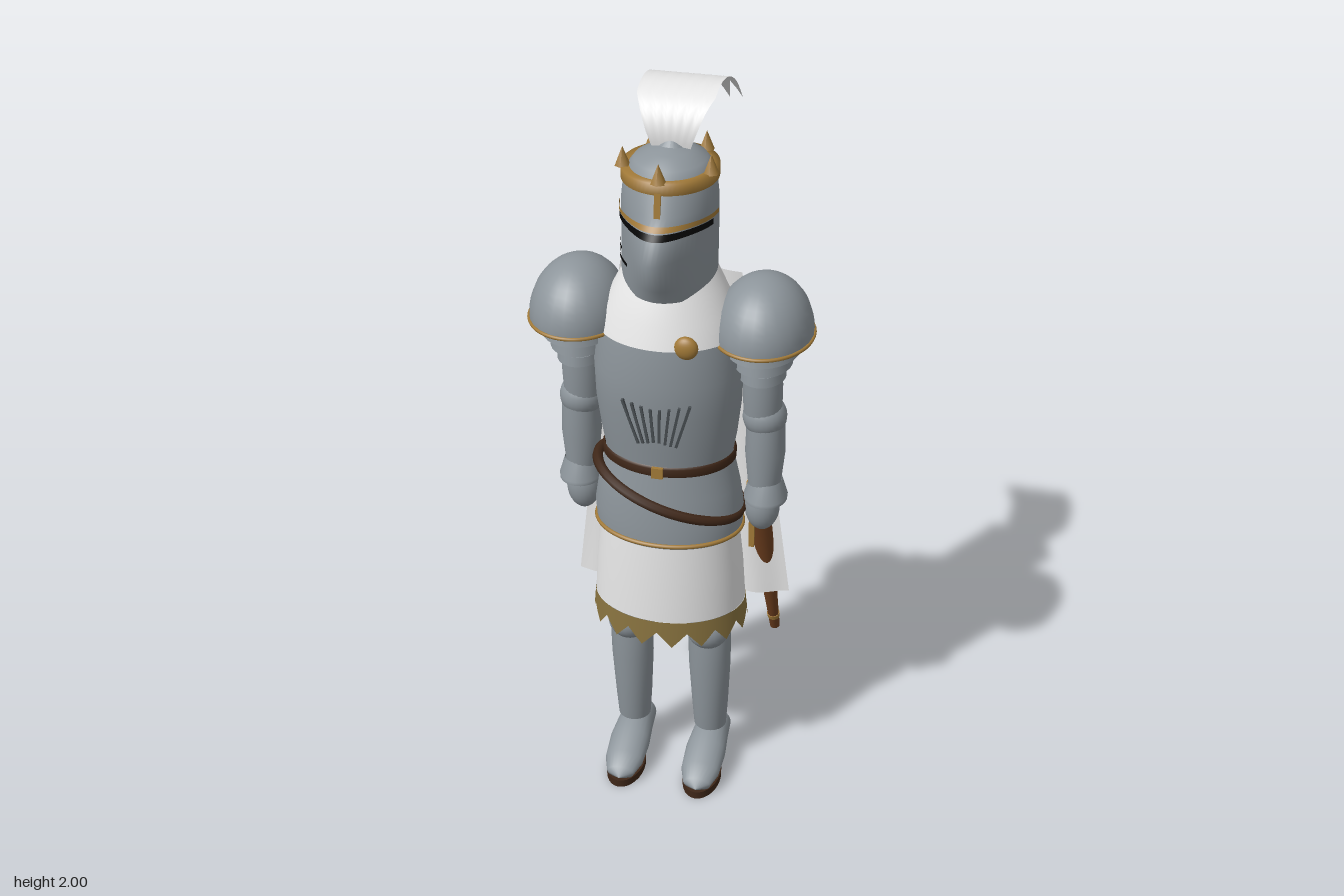
import * as THREE from 'three';

const mat = (name, color, side = THREE.FrontSide) => {
  const m = new THREE.MeshStandardMaterial({ color, side });
  m.name = name;
  return m;
};
const D = THREE.DoubleSide, TAU = Math.PI * 2;

// Ellipse sections [y, rx, rz, cz, point], rising in y; point pulls the front into a ridge
function loft(sections, a0 = 0, a1 = TAU, n = 64) {
  const pos = [], idx = [], closed = a1 - a0 > TAU - 1e-4, row = closed ? n : n + 1;
  sections.forEach(([y, rx, rz, cz = 0, p = 0]) => {
    for (let j = 0; j < row; j++) {
      const a = a0 + (a1 - a0) * j / n, s = Math.sin(a);
      pos.push(rx * Math.cos(a), y, cz + rz * s + p * Math.max(0, s) ** 6);
    }
  });
  for (let i = 0; i < sections.length - 1; i++) for (let j = 0; j < n; j++) {
    const a = i * row + j, c = i * row + (j + 1) % row;
    idx.push(a, a + row, c, c, a + row, c + row);
  }
  return build(pos, idx);
}

// Grid surface from a rule fn(u in -1..1, v in 0..1)
function sheet(nu, nv, fn) {
  const pos = [], idx = [];
  for (let i = 0; i <= nv; i++) for (let j = 0; j <= nu; j++) pos.push(...fn(j / nu * 2 - 1, i / nv));
  for (let i = 0; i < nv; i++) for (let j = 0; j < nu; j++) {
    const a = i * (nu + 1) + j, b = a + nu + 1;
    idx.push(a, a + 1, b, b, a + 1, b + 1);
  }
  return build(pos, idx);
}

function build(pos, idx) {
  const g = new THREE.BufferGeometry();
  g.setAttribute('position', new THREE.Float32BufferAttribute(pos, 3));
  g.setIndex(idx);
  g.computeVertexNormals();
  return g;
}

// Closed tube around an ellipse, sloping along x
function ring(rx, rz, cz, y, r, slope = 0) {
  const pts = Array.from({ length: 24 }, (_, i) => {
    const a = i / 24 * TAU, x = rx * Math.cos(a);
    return new THREE.Vector3(x, y + slope * x, cz + rz * Math.sin(a));
  });
  return new THREE.TubeGeometry(new THREE.CatmullRomCurve3(pts, true), 64, r, 8, true);
}

const HELM = [
  [1.52, 0.112, 0.115, 0.09, 0.01], [1.56, 0.12, 0.13, 0.08, 0.025], [1.65, 0.12, 0.135, 0.075, 0.075],
  [1.72, 0.12, 0.137, 0.075, 0.03], [1.75, 0.12, 0.135, 0.075, 0.005], [1.82, 0.113, 0.125, 0.073, 0],
  [1.85, 0.09, 0.1, 0.07, 0], [1.87, 0.05, 0.06, 0.065, 0], [1.878, 0, 0, 0.06, 0]];

// Strip lying just over the helmet between two heights and two angles in degrees
function helmBand(y0, y1, d0, d1, off) {
  const at = y => {
    const i = HELM.findIndex((s, k) => HELM[k + 1][0] >= y);
    const A = HELM[i], B = HELM[i + 1], t = (y - A[0]) / (B[0] - A[0]);
    const s = A.map((v, k) => v + (B[k] - v) * t);
    return [y, s[1] + off, s[2] + off, s[3], s[4]];
  };
  return loft([at(y0), at(y1)], d0 * Math.PI / 180, d1 * Math.PI / 180);
}

export function createModel() {
  const root = new THREE.Group();
  const steel = mat('steel', 0x8d959b, D), white = mat('white cloth', 0xe8e8e8, D);
  const gold = mat('gold', 0xa27a38, D), trim = mat('hem gold', 0x8a7440, D);
  const leather = mat('dark leather', 0x3f2718, D), wood = mat('scabbard brown', 0x70401f);
  const black = mat('black', 0x060606, D), groove = mat('groove grey', 0x4c5256);
  const add = (name, geo, m, x = 0, y = 0, z = 0, parent = root) => {
    const mesh = new THREE.Mesh(geo, m);
    mesh.name = name;
    mesh.position.set(x, y, z);
    parent.add(mesh);
    return mesh;
  };
  const ball = (r, w = 24, h = 16) => new THREE.SphereGeometry(r, w, h);

  // Torso, collar and skirt
  add('fauld', loft([[0.81, 0.195, 0.148, 0.087], [0.87, 0.2, 0.148, 0.087], [0.95, 0.188, 0.14, 0.087], [1.04, 0.168, 0.13, 0.087]]), steel);
  add('breastplate', loft([[1.03, 0.166, 0.128, 0.087], [1.1, 0.178, 0.139, 0.088], [1.2, 0.19, 0.15, 0.093],
    [1.3, 0.193, 0.157, 0.095], [1.4, 0.182, 0.153, 0.088]]), steel);
  add('collar', loft([[1.4, 0.183, 0.154, 0.088], [1.46, 0.168, 0.145, 0.08], [1.52, 0.138, 0.13, 0.075], [1.57, 0.112, 0.115, 0.07]]), white);
  add('skirt', loft([[0.58, 0.205, 0.163, 0.08], [0.7, 0.198, 0.157, 0.083], [0.82, 0.186, 0.146, 0.087]]), white);
  const hem = loft([[0.5, 0.212, 0.168, 0.077], [0.58, 0.206, 0.164, 0.08]]);
  for (let j = 0; j < 64; j++) hem.attributes.position.setY(j, 0.5 + 0.045 * Math.abs((j % 4) - 2) / 2);
  add('skirtHem', hem, trim);

  // Chest flutes fanning upwards
  for (let i = -3.5; i <= 3.5; i++) {
    const x = i * 0.0195, z = 0.091 + 0.149 * Math.sqrt(1 - (x / 0.187) ** 2);
    const f = add('chestFlute', new THREE.BoxGeometry(0.007, 0.1 + Math.abs(i) * 0.01, 0.008), groove, x, 1.185, z);
    f.rotation.set(0.14, x * 3, -i * 0.085);
  }

  // Belts and clasps
  add('waistBelt', loft([[1.022, 0.172, 0.133, 0.087], [1.027, 0.177, 0.138, 0.087], [1.047, 0.177, 0.138, 0.087], [1.052, 0.172, 0.133, 0.087]]), leather);
  add('beltBuckle', new THREE.BoxGeometry(0.03, 0.03, 0.01), gold, 0, 1.037, 0.226);
  add('swordBelt', ring(0.192, 0.148, 0.087, 0.935, 0.014, -0.34), leather);
  add('skirtBand', ring(0.197, 0.15, 0.087, 0.82, 0.006), gold);
  add('cloakClasp', ball(0.031), gold, 0.075, 1.41, 0.226).scale.z = 0.6;

  // Helmet, visor slits and crown
  add('helmet', loft(HELM), steel);
  add('eyeSlit', helmBand(1.703, 1.719, 18, 162, 0.004), black);
  add('browStrip', helmBand(1.722, 1.734, 5, 175, 0.005), gold);
  add('breathSlit', helmBand(1.625, 1.634, 146, 172, 0.004), black);
  add('breathSlit', helmBand(1.596, 1.606, 132, 172, 0.004), black);
  add('noseStrip', new THREE.BoxGeometry(0.016, 0.08, 0.012), gold, 0, 1.77, 0.208).rotation.x = -0.12;
  add('crownBand', loft([[1.805, 0.115, 0.128, 0.074], [1.805, 0.121, 0.135, 0.074], [1.835, 0.121, 0.135, 0.074], [1.835, 0.1, 0.113, 0.074]]), gold);
  for (let i = 0; i < 5; i++) {
    const a = i / 5 * TAU;
    add('crownSpike', new THREE.ConeGeometry(0.02, 0.05, 6), gold, 0.116 * Math.sin(a), 1.858, 0.074 + 0.126 * Math.cos(a));
  }
  add('plumeSocket', new THREE.ConeGeometry(0.05, 0.05, 20), steel, 0, 1.883, 0.05);

  // Plume: one bent sheet with seven feather tips
  const arc = new THREE.CatmullRomCurve3([[0.066, 1.86], [0.07, 1.91], [0.045, 1.965], [-0.03, 1.998], [-0.12, 1.99], [-0.21, 1.945], [-0.288, 1.87]]
    .map(([z, y]) => new THREE.Vector3(0, y, z)));
  add('plume', sheet(24, 20, (u, v) => {
    const k = (u + 1) * 3, notch = 1 - Math.abs((k % 1) * 2 - 1);
    const t = v * (1 - 0.22 * notch), p = arc.getPointAt(Math.min(1, t));
    const w = 0.045 + 0.05 * Math.min(1, t / 0.3) + 0.01 * t;
    return [u * w, p.y, p.z];
  }), white);

  // Two-layer cape
  const cape = (y0, y1, w0, w1, z0, z1, ph) => sheet(40, 14, (u, v) => [
    u * (w0 + (w1 - w0) * v), y0 + (y1 - y0) * v + 0.012 * v * Math.sin(u * 4 + ph),
    z0 + (z1 - z0) * v + 0.025 * u * u + 0.012 * (0.3 + v) * Math.sin(u * 9 + ph)]);
  add('upperCape', cape(1.5, 0.955, 0.16, 0.25, -0.062, -0.115, 1), white);
  add('lowerCape', cape(1.15, 0.51, 0.22, 0.3, -0.07, -0.092, 2), white);

  // Limbs, mirrored
  for (const s of [1, -1]) {
    const side = s > 0 ? 'left' : 'right';
    const arm = new THREE.Group(), leg = new THREE.Group();
    arm.name = side + 'Arm';
    leg.name = side + 'Leg';
    arm.position.set(s * 0.24, 0, 0.07);
    leg.position.x = s * 0.11;
    root.add(arm, leg);

    add('pauldron', new THREE.SphereGeometry(1, 24, 12, 0, TAU, 0, Math.PI / 2), steel, 0, 1.4, 0, arm).scale.set(0.127, 0.152, 0.155);
    add('pauldronRim', ring(0.127, 0.155, 0, 1.396, 0.005), gold, 0, 0, 0, arm);
    [[1.367, 0.097], [1.326, 0.076], [1.286, 0.06]].forEach(([y, r]) =>
      add('shoulderPlate', new THREE.CylinderGeometry(r * 0.95, r, 0.026, 28), steel, 0, y, 0, arm).scale.z = 1.25);
    add('upperArm', loft([[1.15, 0.05, 0.05, -0.014], [1.24, 0.052, 0.052, -0.005], [1.4, 0.045, 0.045]], 0, TAU, 24), steel, 0, 0, 0, arm);
    add('elbow', ball(0.058), steel, s * 0.005, 1.145, -0.016, arm);
    add('forearm', loft([[0.94, 0.043, 0.045, -0.016], [1.04, 0.053, 0.055, -0.018], [1.13, 0.05, 0.052, -0.016]], 0, TAU, 24), steel, s * 0.008, 0, 0, arm);
    add('cuff', loft([[0.895, 0.057, 0.066, -0.018], [0.905, 0.058, 0.066, -0.018], [0.955, 0.043, 0.047, -0.018]], 0, TAU, 24), steel, s * 0.012, 0, 0, arm);
    add('gauntlet', ball(1), steel, s * 0.004, 0.872, -0.014, arm).scale.set(0.047, 0.073, 0.047);

    add('thigh', new THREE.CylinderGeometry(0.075, 0.06, 0.36, 24), steel, 0, 0.67, 0.09, leg);
    add('knee', ball(0.06), steel, 0, 0.482, 0.102, leg);
    add('shin', loft([[0.125, 0.045, 0.045, 0.06], [0.2, 0.05, 0.052, 0.064], [0.35, 0.058, 0.055, 0.074], [0.46, 0.06, 0.05, 0.08]], 0, TAU, 24), steel, 0, 0, 0, leg);
    const shoe = loft([[-0.01, 0.045, 0.045, -0.073], [0.05, 0.05, 0.052, -0.074], [0.12, 0.057, 0.045, -0.062],
      [0.19, 0.054, 0.032, -0.046], [0.235, 0.038, 0.02, -0.035], [0.252, 0, 0, -0.028]], 0, TAU, 24);
    shoe.rotateX(Math.PI / 2);
    add('shoe', shoe, steel, 0, 0, 0, leg);
    add('sole', new THREE.CylinderGeometry(1, 1, 0.022, 28), leather, 0, 0.011, 0.163, leg).scale.set(0.052, 1, 0.093);
  }

  // Scabbard hanging at the left hip
  const tip = new THREE.Vector3(0.245, 0.31, -0.185), mouth = new THREE.Vector3(0.215, 0.9, 0);
  const dir = mouth.clone().sub(tip), len = dir.length();
  const sword = new THREE.Group();
  sword.name = 'scabbard';
  sword.position.copy(tip);
  sword.quaternion.setFromUnitVectors(new THREE.Vector3(0, 1, 0), dir.normalize());
  root.add(sword);
  add('sheath', loft([[0, 0, 0], [0, 0.014, 0.014], [0.1, 0.017, 0.017], [0.3, 0.026, 0.023], [0.45, 0.029, 0.026], [len, 0.018, 0.022], [len, 0, 0]], 0, TAU, 20), wood, 0, 0, 0, sword);
  add('tipBand', new THREE.CylinderGeometry(0.018, 0.017, 0.015, 20), gold, 0, 0.05, 0, sword);
  add('mouthBand', new THREE.CylinderGeometry(0.026, 0.026, 0.04, 20), gold, 0, len - 0.02, 0, sword);
  add('swordStrap', new THREE.BoxGeometry(0.015, 0.1, 0.012), gold, 0.21, 0.76, 0.018);
  return root;
}
